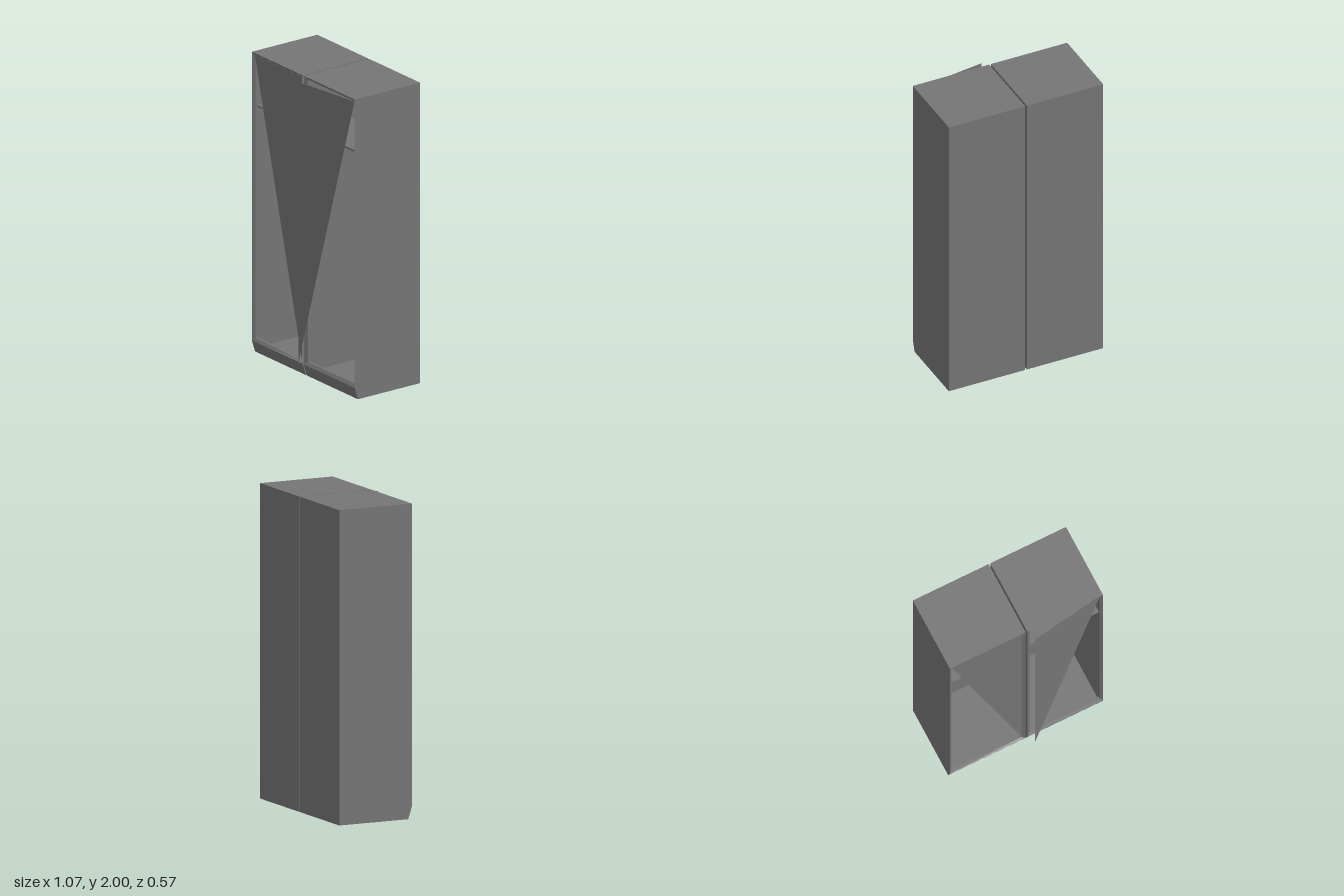
import * as THREE from 'three';

const steel = new THREE.MeshStandardMaterial({ color: 0x757575, side: THREE.DoubleSide });
steel.name = 'grey steel';

// Flat-shaded mesh from a list of corner points, three per face
function facetMesh(points, name) {
  const geometry = new THREE.BufferGeometry();
  geometry.setAttribute('position', new THREE.Float32BufferAttribute(points.flat(), 3));
  geometry.computeVertexNormals();
  const mesh = new THREE.Mesh(geometry, steel);
  mesh.name = name;
  return mesh;
}

// Rectangular ring, counter-clockwise seen from the front
const ring = (x0, x1, y0, y1, z, yRight = y0) => [[x0, y0, z], [x1, yRight, z], [x1, y1, z], [x0, y1, z]];

// Skin a run of rings from the back panel, round the front rim and into the hollow
function loftBody(rings, name) {
  const points = [];
  const quad = (a, b, c, d) => points.push(a, b, c, a, c, d);
  quad(...[...rings[0]].reverse());
  for (let i = 0; i < rings.length - 1; i++) {
    for (let k = 0; k < 4; k++) {
      const n = (k + 1) % 4;
      quad(rings[i][k], rings[i][n], rings[i + 1][n], rings[i + 1][k]);
    }
  }
  quad(...rings[rings.length - 1]);
  return facetMesh(points, name);
}

function locker({ name, x0, x1, open0, open1, sillRight }) {
  const group = new THREE.Group();
  group.name = name;
  group.add(loftBody([
    ring(x0, x1, 0, 2, -0.285), // back panel
    ring(x0, x1, 0, 2, 0.2), // foot of the sloping kick plate
    ring(x0, x1, 0.08, 2, 0.225), // front rim
    ring(open0, open1, 0.1, 1.98, 0.21, sillRight), // bevelled door frame
    ring(open0, open1, 0.1, 1.98, 0.195, sillRight), // frame lip
    ring(x0 + 0.015, x1 - 0.015, 0.03, 1.985, 0.195), // hollow behind the lip
    ring(x0 + 0.015, x1 - 0.015, 0.03, 1.985, -0.265), // inner back wall
  ], 'cabinetBody'));

  // Hat shelf
  const shelf = new THREE.Mesh(new THREE.BoxGeometry(x1 - x0 - 0.03, 0.012, 0.46), steel);
  shelf.name = 'shelf';
  shelf.position.set((x0 + x1) / 2, 1.638, -0.035);
  group.add(shelf);
  return group;
}

export function createModel() {
  const model = new THREE.Group();
  model.name = 'lockerPair';

  const right = locker({ name: 'rightLocker', x0: -0.537, x1: -0.006, open0: -0.52, open1: -0.03, sillRight: 0.085 });
  const left = locker({ name: 'leftLocker', x0: 0.006, x1: 0.537, open0: 0.03, open1: 0.52, sillRight: 0.1 });

  // Closed triangular door sheet
  right.add(facetMesh([[-0.52, 1.98, 0.214], [-0.03, 0.1, 0.214], [-0.03, 1.98, 0.214]], 'closedDoor'));
  // Door sheet standing ajar at the middle
  left.add(facetMesh([[0.03, 1.98, 0.285], [0.03, 0.11, 0.285], [0.52, 1.98, 0.214]], 'ajarDoor'));

  model.add(right, left);
  return model;
}
